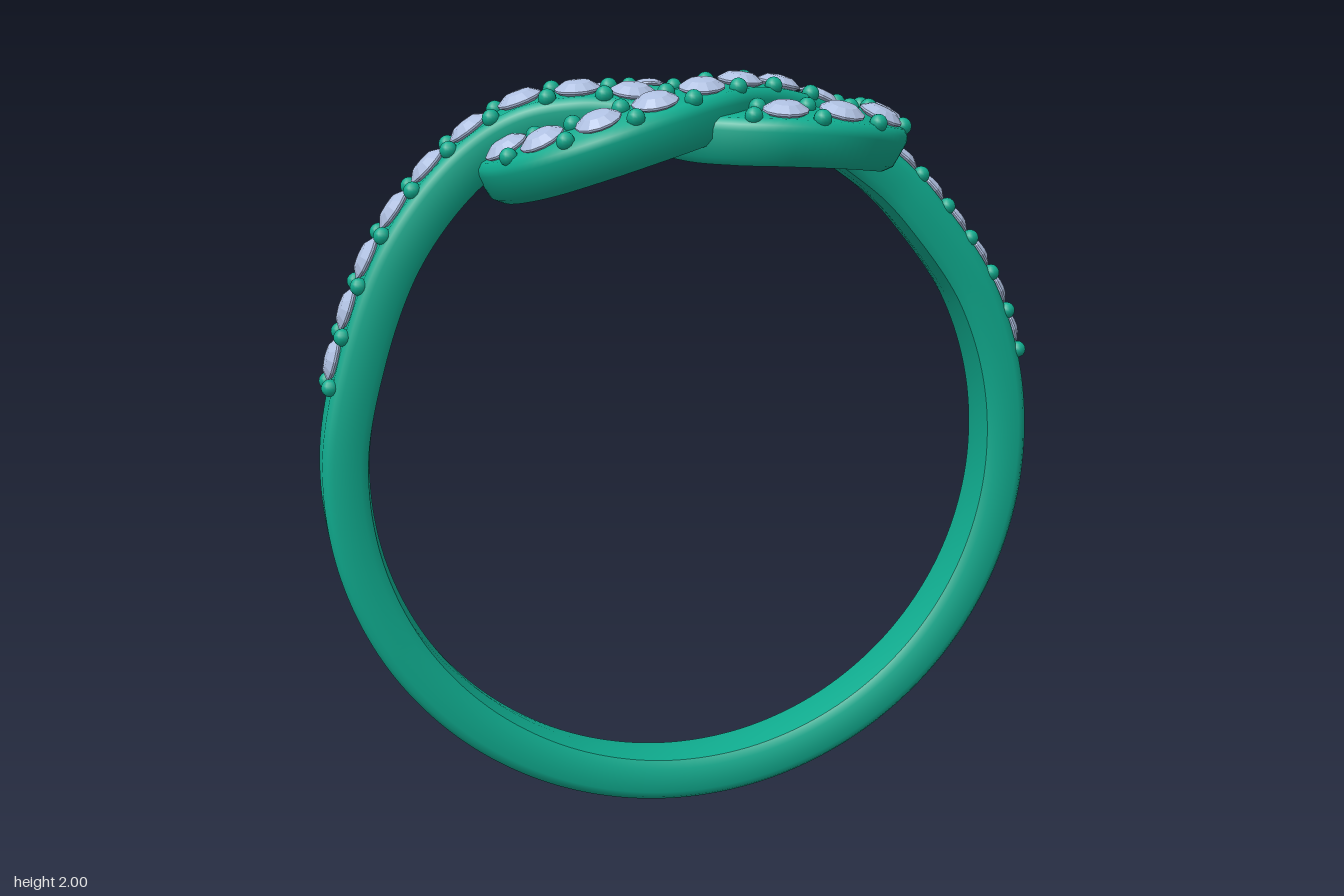
import * as THREE from 'three';
import { toCreasedNormals } from 'three/addons/utils/BufferGeometryUtils.js';

const CY = 0.975, R = 0.911; // centre height and mid radius of the finger ring
const H = 0.062;             // half thickness of the band
const V = (x, y, z) => new THREE.Vector3(x, y, z);

// One closed path: round the finger, then through the knot
function makePath() {
  const pts = [];
  for (let a = 45; a >= -200; a -= 17.5) {
    const t = THREE.MathUtils.degToRad(a);
    pts.push(V(R * Math.cos(t), CY + R * Math.sin(t), 0.065 + 0.008 * -Math.cos(t)));
  }
  const knot = [
    // left shank rising over the loop and dipping under the crossing
    [-0.765, 1.525, 0.073], [-0.66, 1.68, 0.075], [-0.55, 1.79, 0.09], [-0.43, 1.865, 0.13],
    [-0.31, 1.89, 0.17], [-0.18, 1.885, 0.215], [-0.02, 1.85, 0.31],
    // right lobe
    [0.07, 1.845, 0.37], [0.17, 1.845, 0.4], [0.3, 1.84, 0.385], [0.41, 1.83, 0.315], [0.465, 1.825, 0.19],
    // back of the heart
    [0.465, 1.825, 0.05], [0.43, 1.83, -0.08], [0.36, 1.84, -0.2], [0.26, 1.85, -0.3],
    [0.13, 1.86, -0.375], [0, 1.868, -0.415], [-0.13, 1.86, -0.375], [-0.24, 1.845, -0.3],
    [-0.34, 1.82, -0.21], [-0.42, 1.79, -0.11], [-0.465, 1.765, 0.04],
    // left lobe
    [-0.465, 1.76, 0.19], [-0.4, 1.785, 0.325], [-0.29, 1.825, 0.39], [-0.16, 1.865, 0.385],
    // over the crossing and down into the right shank
    [-0.02, 1.9, 0.32], [0.08, 1.91, 0.245], [0.2, 1.9, 0.165], [0.32, 1.865, 0.105],
    [0.45, 1.785, 0.07], [0.56, 1.705, 0.06],
  ];
  knot.forEach((p) => pts.push(V(...p)));
  const curve = new THREE.CatmullRomCurve3(pts, true, 'centripetal');
  curve.arcLengthDivisions = 2000;
  return curve;
}

// Position with side and outward directions at arc fraction u
function frameAt(curve, u) {
  u = ((u % 1) + 1) % 1;
  const p = curve.getPointAt(u), t = curve.getTangentAt(u);
  const n = V(p.x, p.y - CY, (p.z - 0.07) * 0.6);
  n.addScaledVector(t, -n.dot(t)).normalize();
  return { p, t, n, s: t.clone().cross(n).normalize() };
}

// Bevelled band swept along the path
function bandGeometry(curve, steps = 520) {
  const half = [[0.064, -0.054], [0.079, -0.034], [0.08, 0.034], [0.074, 0.05], [0.058, H]];
  const section = [[0, -H], ...half, ...half.map(([x, y]) => [-x, y]).reverse()];
  const m = section.length, pos = [], idx = [];
  for (let i = 0; i < steps; i++) {
    const { p, n, s } = frameAt(curve, i / steps);
    for (const [x, y] of section) {
      const q = p.clone().addScaledVector(s, x).addScaledVector(n, y);
      pos.push(q.x, q.y, q.z);
    }
    const j = (i + 1) % steps;
    for (let k = 0; k < m; k++) {
      const l = (k + 1) % m;
      idx.push(i * m + k, j * m + k, j * m + l, i * m + k, j * m + l, i * m + l);
    }
  }
  const g = new THREE.BufferGeometry();
  g.setAttribute('position', new THREE.Float32BufferAttribute(pos, 3));
  g.setIndex(idx);
  return toCreasedNormals(g, 0.65);
}

// Arc fraction of the path point nearest to a target
function nearest(curve, target) {
  let best = 0, dist = Infinity;
  for (let i = 0; i < 1500; i++) {
    const d = curve.getPointAt(i / 1500).distanceTo(target);
    if (d < dist) { dist = d; best = i / 1500; }
  }
  return best;
}

export function createModel() {
  const ring = new THREE.Group();
  ring.name = 'knotRing';
  const metal = new THREE.MeshStandardMaterial({ color: 0x0fab8e });
  const gem = new THREE.MeshStandardMaterial({ color: 0xaebfe0, flatShading: true });
  const curve = makePath();

  const band = new THREE.Mesh(bandGeometry(curve), metal);
  band.name = 'band';
  ring.add(band);

  // Faceted stone with a shallow crown, and a round prong
  const profile = [[0, -0.035], [0.058, 0], [0.058, 0.005], [0.034, 0.021], [0, 0.025]];
  const stoneGeo = new THREE.LatheGeometry(profile.map(([x, y]) => new THREE.Vector2(x, y)), 12);
  const prongGeo = new THREE.SphereGeometry(0.023, 12, 8);

  // Rows of stones: name, first point, last point, count
  const rows = [
    ['leftShank', V(-0.862, 1.27, 0.073), V(-0.18, 1.885, 0.215), 9],
    ['heartLoop', V(0.16, 1.845, 0.4), V(-0.42, 1.79, -0.115), 14],
    ['leftLobe', V(-0.465, 1.76, 0.21), V(0.32, 1.865, 0.105), 8],
    ['rightShank', V(0.55, 1.71, 0.06), V(0.862, 1.27, 0.058), 6],
  ];
  for (const [name, from, to, count] of rows) {
    const row = new THREE.Group();
    row.name = name + 'Stones';
    const a = nearest(curve, from);
    let b = nearest(curve, to);
    if (b < a) b += 1;
    const step = (b - a) / (count - 1);
    for (let i = 0; i <= count; i++) {
      if (i < count) {
        const { p, t, n, s } = frameAt(curve, a + i * step);
        const stone = new THREE.Mesh(stoneGeo, gem);
        stone.name = 'stone';
        stone.position.copy(p).addScaledVector(n, H + 0.006);
        stone.quaternion.setFromRotationMatrix(new THREE.Matrix4().makeBasis(t, n, s.clone()));
        row.add(stone);
      }
      // Pair of prongs before each stone and after the last
      const f = frameAt(curve, a + (i - 0.5) * step);
      for (const side of [-1, 1]) {
        const prong = new THREE.Mesh(prongGeo, metal);
        prong.name = 'prong';
        prong.position.copy(f.p).addScaledVector(f.n, H + 0.004).addScaledVector(f.s, side * 0.05);
        row.add(prong);
      }
    }
    ring.add(row);
  }
  return ring;
}
